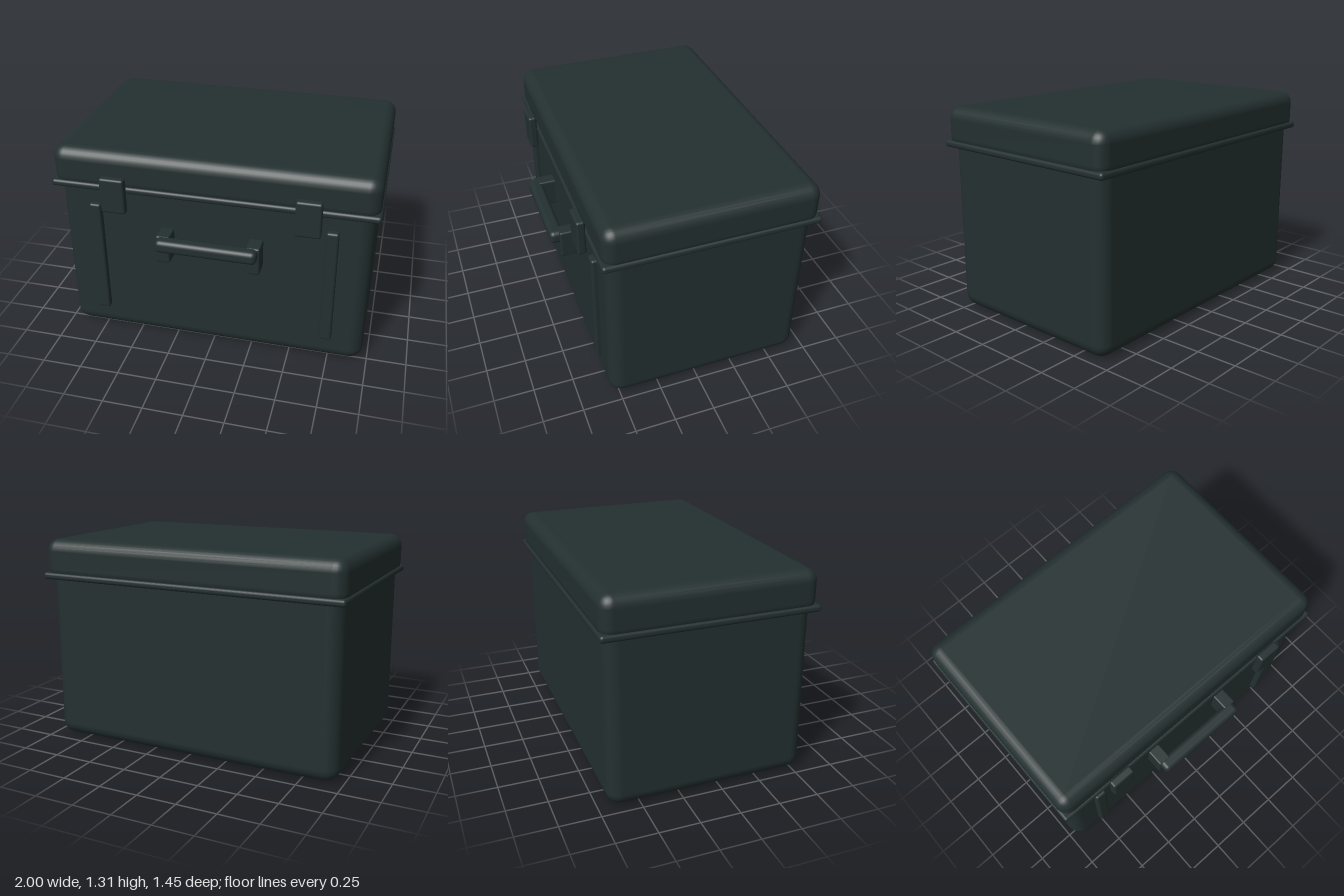
import * as THREE from 'three';
import { RoundedBoxGeometry } from 'three/addons/geometries/RoundedBoxGeometry.js';

export function createModel() {
  const model = new THREE.Group();
  model.name = 'storageCase';

  const darkShell = new THREE.MeshStandardMaterial({ color: 0x243030 });
  darkShell.name = 'darkShell';

  // Rounded block given by its extents along each axis
  function block(name, [x0, x1], [y0, y1], [z0, z1], radius, segments = 3) {
    const geometry = new RoundedBoxGeometry(x1 - x0, y1 - y0, z1 - z0, segments, radius);
    const mesh = new THREE.Mesh(geometry, darkShell);
    mesh.name = name;
    mesh.position.set((x0 + x1) / 2, (y0 + y1) / 2, (z0 + z1) / 2);
    model.add(mesh);
  }

  // Same block on both sides of the case
  function pair(name, [x0, x1], y, z, radius) {
    block(name + 'Left', [x0, x1], y, z, radius);
    block(name + 'Right', [-x1, -x0], y, z, radius);
  }

  // Shell: body, sealing rim and lid
  block('body', [-0.967, 0.967], [0, 1.14], [-0.692, 0.556], 0.085);
  block('rim', [-1, 1], [1.053, 1.096], [-0.725, 0.592], 0.018);
  block('lid', [-0.992, 0.992], [1.045, 1.307], [-0.716, 0.58], 0.075);

  // Front fittings: ribs and latches
  pair('rib', [0.695, 0.77], [0.175, 0.955], [0.525, 0.592], 0.015);
  pair('latch', [0.515, 0.67], [0.935, 1.165], [0.587, 0.64], 0.015);

  // Carrying handle: two posts and a grip
  pair('handlePost', [0.236, 0.322], [0.646, 0.83], [0.54, 0.665], 0.012);
  block('handleGrip', [-0.315, 0.31], [0.745, 0.829], [0.637, 0.723], 0.03);

  return model;
}
